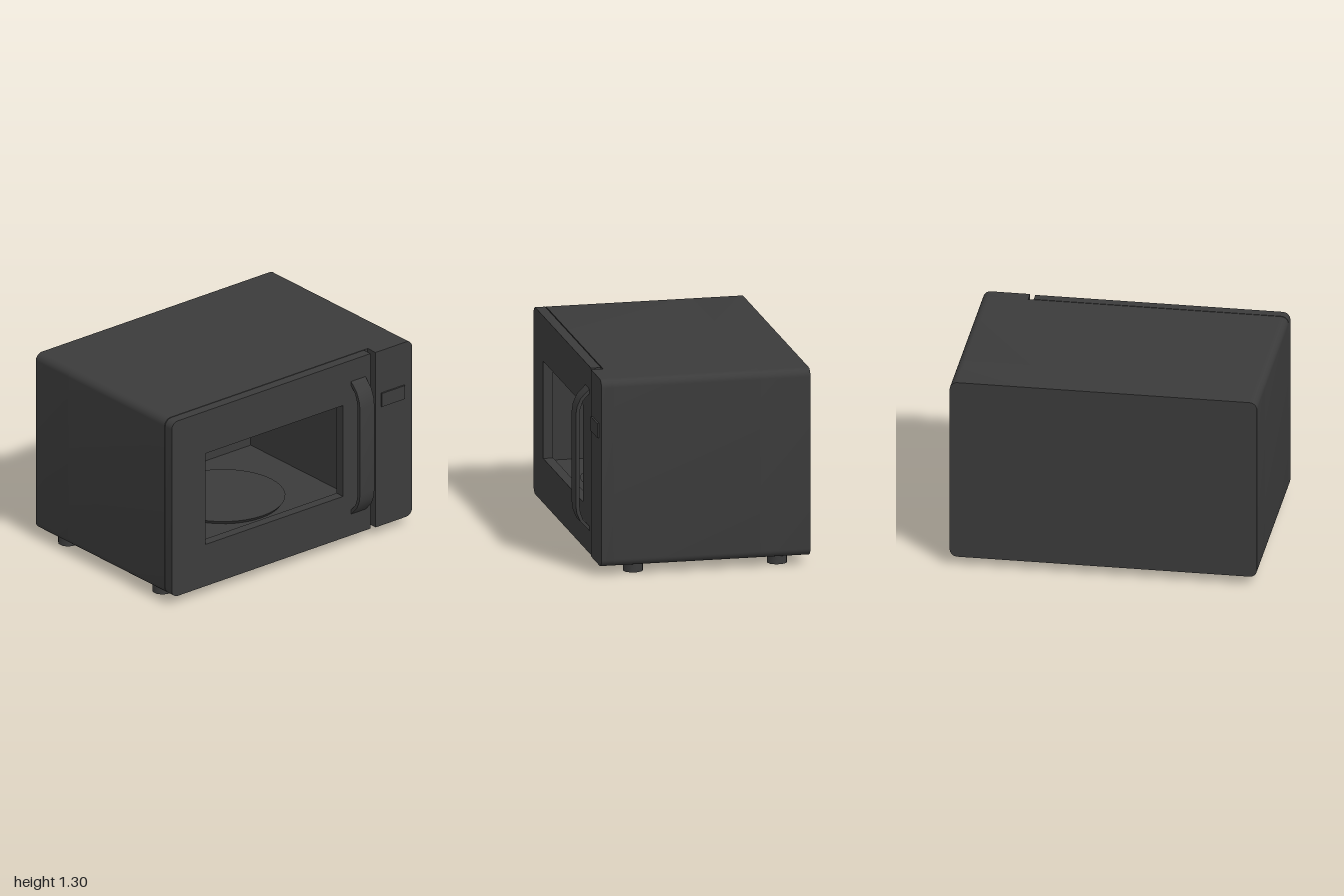
import * as THREE from 'three';
import { toCreasedNormals } from 'three/addons/utils/BufferGeometryUtils.js';

// Rectangle outline with a separate corner radius for the left and right sides
function plateShape(x0, x1, y0, y1, rl, rr) {
  const s = new THREE.Shape();
  s.moveTo(x0 + rl, y0);
  s.lineTo(x1 - rr, y0);
  if (rr) s.absarc(x1 - rr, y0 + rr, rr, -Math.PI / 2, 0, false);
  s.lineTo(x1, y1 - rr);
  if (rr) s.absarc(x1 - rr, y1 - rr, rr, 0, Math.PI / 2, false);
  s.lineTo(x0 + rl, y1);
  if (rl) s.absarc(x0 + rl, y1 - rl, rl, Math.PI / 2, Math.PI, false);
  s.lineTo(x0, y0 + rl);
  if (rl) s.absarc(x0 + rl, y0 + rl, rl, Math.PI, Math.PI * 1.5, false);
  return s;
}

// Rectangular hole
function opening(x0, x1, y0, y1) {
  const p = new THREE.Path();
  p.moveTo(x0, y0);
  p.lineTo(x0, y1);
  p.lineTo(x1, y1);
  p.lineTo(x1, y0);
  p.closePath();
  return p;
}

export function createModel() {
  const group = new THREE.Group();
  group.name = 'microwave';
  const darkGrey = new THREE.MeshStandardMaterial({ color: 0x3b3b3b });
  darkGrey.name = 'darkGrey';

  const add = (name, geometry) => {
    const mesh = new THREE.Mesh(geometry, darkGrey);
    mesh.name = name;
    group.add(mesh);
    return mesh;
  };
  const slab = (name, shape, z0, z1) => {
    const g = new THREE.ExtrudeGeometry(shape, { depth: z1 - z0, bevelEnabled: false, curveSegments: 4 });
    g.translate(0, 0, z0);
    return add(name, toCreasedNormals(g, 0.6));
  };

  const y0 = 0.06, y1 = 1.3, r = 0.05;
  const cavityBack = -0.4, shellFront = 0.568;

  // Casing: hollow around the cooking chamber, solid behind it
  const shell = plateShape(-1, 1, y0, y1, r, r);
  shell.holes.push(opening(-0.8, 0.52, 0.32, 1.04));
  slab('casing', shell, cavityBack, shellFront);
  slab('casingBack', plateShape(-1, 1, y0, y1, r, r), -0.73, cavityBack);

  // Door with an open window, standing just off the casing
  const door = plateShape(-1, 0.66, y0, y1, r, 0);
  door.holes.push(opening(-0.72, 0.43, 0.355, 1.0));
  slab('door', door, 0.574, 0.64);

  // Control panel and its raised display
  slab('controlPanel', plateShape(0.695, 1, y0, y1, 0, r), shellFront, 0.648);
  slab('display', plateShape(0.738, 0.932, 0.905, 1.0, 0, 0), 0.648, 0.66);

  // Turntable
  const plate = add('turntable', new THREE.CylinderGeometry(0.4, 0.38, 0.025, 40));
  plate.position.set(-0.14, 0.333, 0.12);

  // Bent strap handle: half profile (z, distance from mid height), mirrored
  const outer = [[0.64, 0.47], [0.698, 0.41], [0.722, 0.355], [0.73, 0.3]];
  const inner = [[0.64, 0.44], [0.682, 0.395], [0.7, 0.345], [0.706, 0.295]];
  const mid = 0.68;
  const flip = (pts) => pts.map(([z, h]) => [z, -h]).reverse();
  const loop = [...outer, ...flip(outer), ...inner.map(([z, h]) => [z, -h]), ...inner.slice().reverse()];
  const profile = new THREE.Shape(loop.map(([z, h]) => new THREE.Vector2(-z, mid + h)));
  const strap = new THREE.ExtrudeGeometry(profile, { depth: 0.12, bevelEnabled: false });
  strap.rotateY(Math.PI / 2); // profile x becomes -z, depth becomes x
  strap.translate(0.497, 0, 0);
  add('handle', toCreasedNormals(strap, 0.6));

  // Feet
  for (const x of [-0.89, 0.873]) {
    for (const z of [0.412, -0.538]) {
      const foot = add('foot', toCreasedNormals(new THREE.CylinderGeometry(0.066, 0.066, 0.07, 10), 0.7));
      foot.position.set(x, 0.035, z);
    }
  }
  return group;
}
